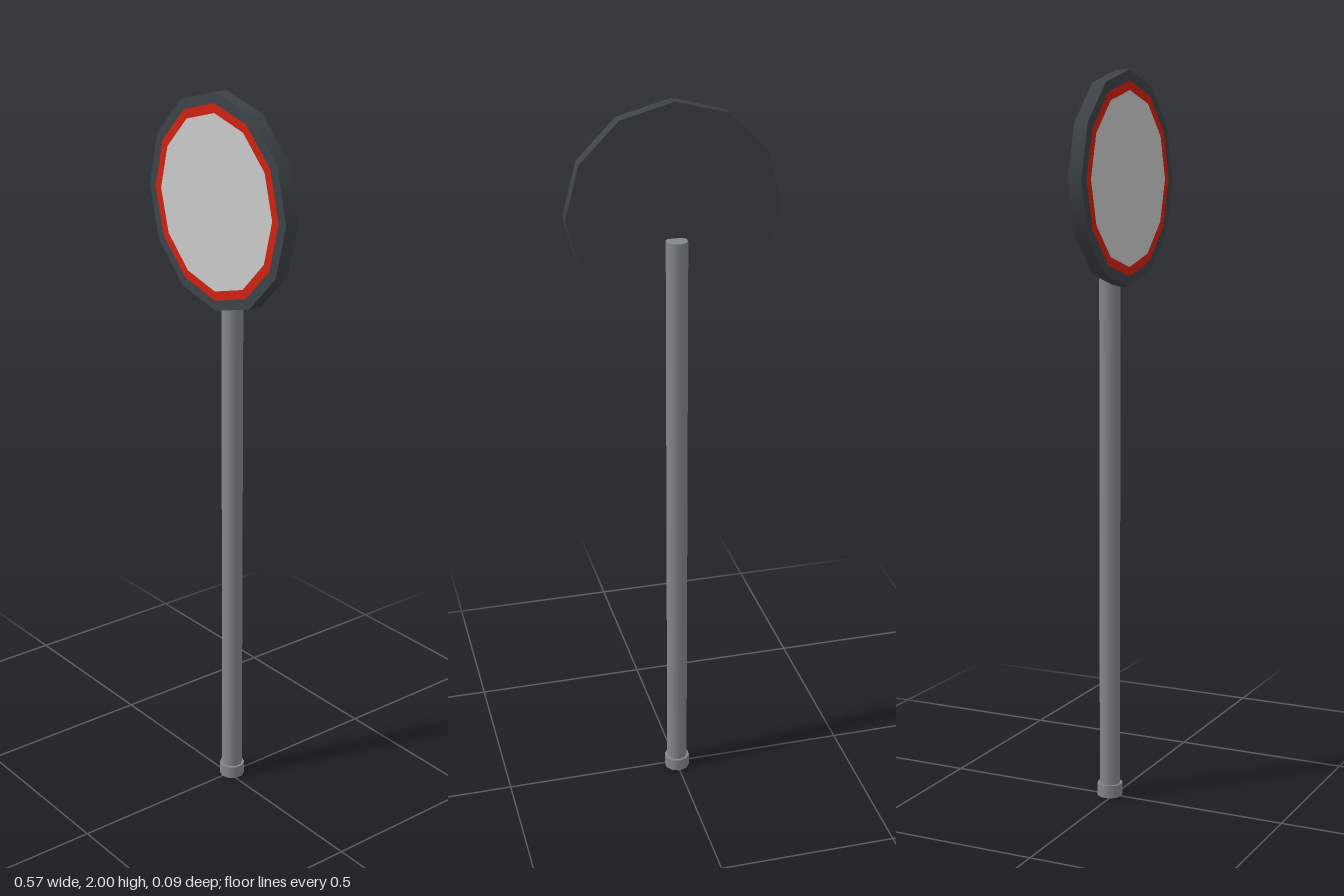
import * as THREE from 'three';

const SIDES = 12, SIGN_Y = 1.715, POLE_Z = -0.0125;

export function createModel() {
  const material = (name, color) => {
    const m = new THREE.MeshStandardMaterial({ color });
    m.name = name;
    return m;
  };
  const steel = material('grey steel', 0x83888f);
  const dark = material('dark grey', 0x3d4347);
  const red = material('red', 0xd0210f);
  const pale = material('pale grey', 0xcbcbcb);

  const group = new THREE.Group();
  group.name = 'roadSign';
  const add = (name, geometry, mat, x, y, z) => {
    const mesh = new THREE.Mesh(geometry, mat);
    mesh.name = name;
    mesh.position.set(x, y, z);
    group.add(mesh);
    return mesh;
  };

  // Ten-sided pole standing in a short collar
  add('pole', new THREE.CylinderGeometry(0.029, 0.029, 1.645, 10), steel, 0, 0.8225, POLE_Z);
  add('baseCollar', new THREE.CylinderGeometry(0.036, 0.036, 0.036, 10), steel, 0, 0.018, POLE_Z);

  // Twelve-sided sign plate, a corner pointing up
  const plate = new THREE.CylinderGeometry(0.285, 0.285, 0.038, SIDES).rotateX(Math.PI / 2);
  add('signPlate', plate, dark, 0, SIGN_Y, 0.026);

  // Painted face: red border around a pale field
  add('redBorder', new THREE.RingGeometry(0.232, 0.257, SIDES), red, 0, SIGN_Y, 0.046);
  add('signFace', new THREE.CircleGeometry(0.232, SIDES), pale, 0, SIGN_Y, 0.046);

  return group;
}
